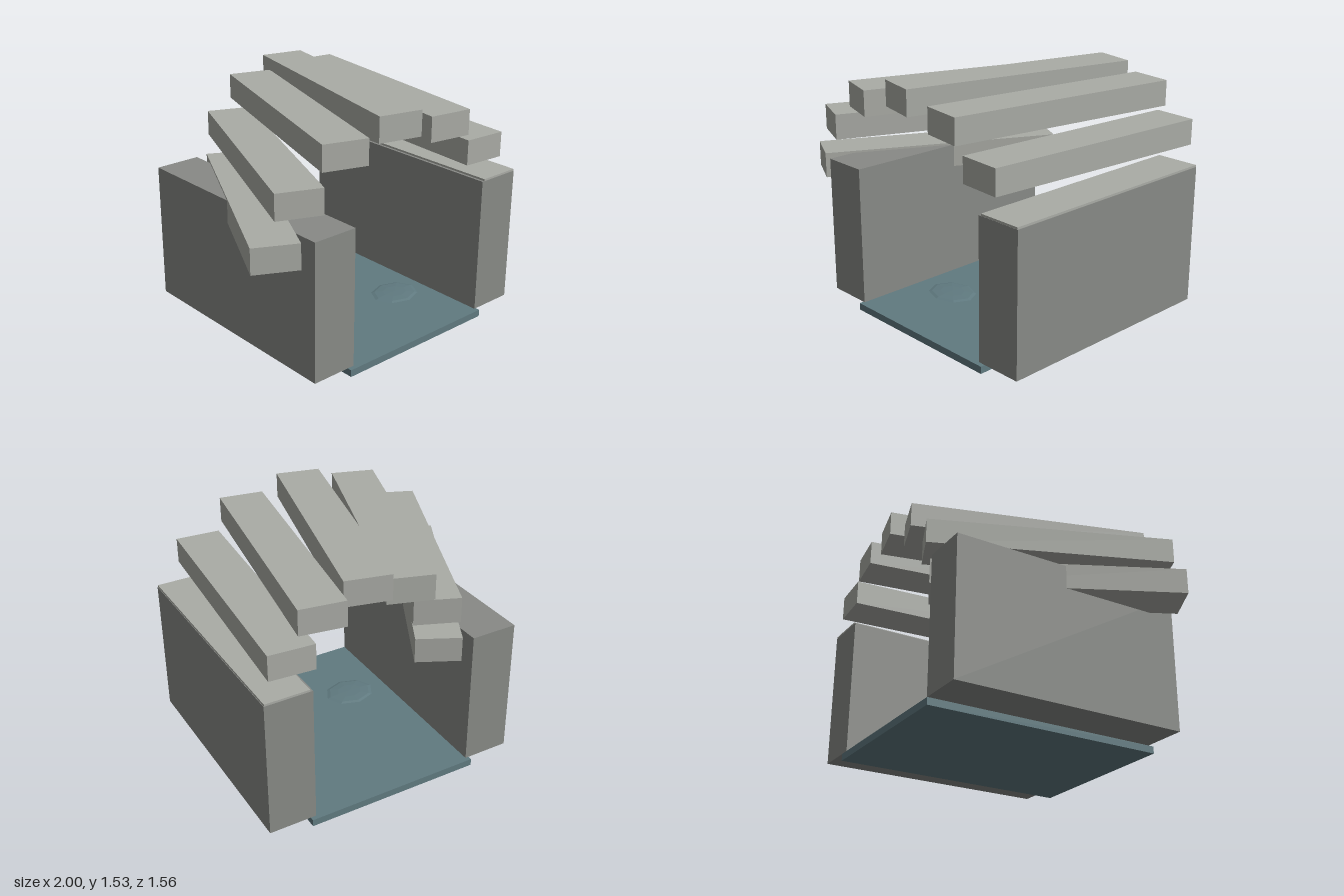
import * as THREE from 'three';

export function createModel() {
  const model = new THREE.Group();
  model.name = 'beamShelter';

  const material = (name, color) => {
    const m = new THREE.MeshStandardMaterial({ color, flatShading: true });
    m.name = name;
    return m;
  };
  const paleStone = material('paleStone', 0xaaaca6);
  const darkStone = material('darkStone', 0x888a86);
  const blueSlate = material('blueSlate', 0x607a80);

  const add = (name, geometry, mat, x, y, z) => {
    const mesh = new THREE.Mesh(geometry, mat);
    mesh.name = name;
    mesh.position.set(x, y, z);
    model.add(mesh);
    return mesh;
  };

  // Floor slab
  add('floorSlab', new THREE.BoxGeometry(1.135, 0.045, 1.56), blueSlate, 0.1625, 0.0225, 0);

  // Flattened faceted mounds on the floor
  const mound = new THREE.SphereGeometry(1, 8, 6).scale(0.17, 0.012, 0.14);
  for (const x of [-0.115, 0.48]) add('floorMound', mound, blueSlate, x, 0.05, 0.25);

  // Side walls
  const wall = new THREE.BoxGeometry(0.3, 0.885, 1.53);
  add('rightWall', wall, darkStone, -0.5225, 0.4995, 0);
  add('leftWall', wall, darkStone, 0.85, 0.4995, 0);

  // Roof beams fanned over an arch, each turned 4.5 degrees less than the last
  const beam = new THREE.BoxGeometry(0.28, 0.16, 1.528);
  const centres = [
    [-0.53, 0.875], [-0.4375, 1.16], [-0.1825, 1.37], [0.1625, 1.45],
    [0.5075, 1.37], [0.76, 1.16], [0.857, 0.875],
  ];
  centres.forEach(([x, y], i) => {
    const roofBeam = add('roofBeam', beam, paleStone, x, y, 0);
    roofBeam.rotation.y = -THREE.MathUtils.degToRad(27 - 4.5 * i);
  });

  return model;
}
